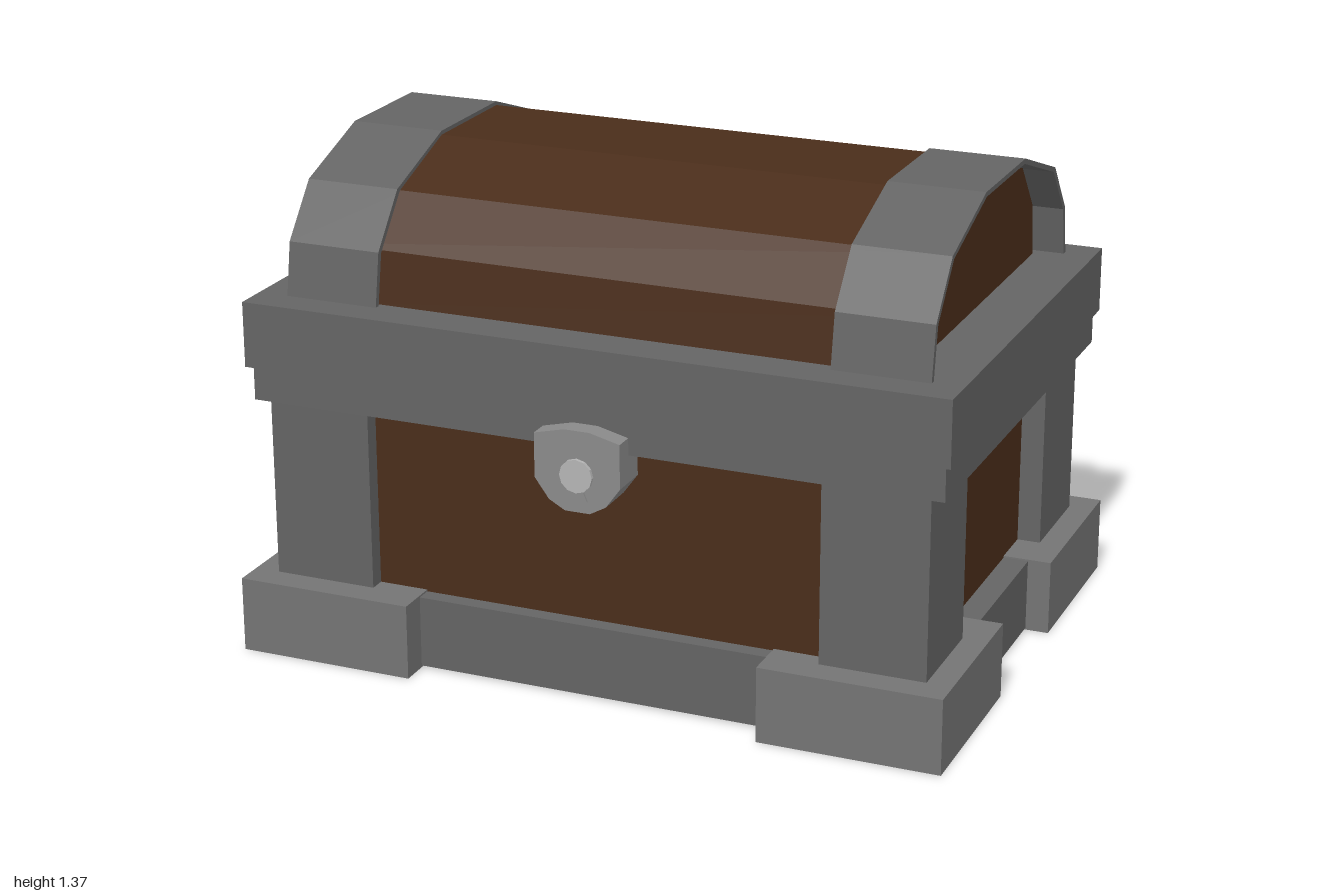
import * as THREE from 'three';

const paint = (color) => new THREE.MeshStandardMaterial({ color, flatShading: true });
const wood = paint(0x4a2d1a);
const iron = paint(0x646464);
const footIron = paint(0x747474);
const lockIron = paint(0x8a8a8a);
const keyIron = paint(0xb4b4b4);

export function createModel() {
  const chest = new THREE.Group();
  chest.name = 'chest';

  const add = (name, geometry, material) => {
    const mesh = new THREE.Mesh(geometry, material);
    mesh.name = name;
    chest.add(mesh);
    return mesh;
  };

  // Box given by its lower and upper limits on each axis
  const box = (name, [x0, x1], [y0, y1], [z0, z1], material) =>
    add(name, new THREE.BoxGeometry(x1 - x0, y1 - y0, z1 - z0), material)
      .position.set((x0 + x1) / 2, (y0 + y1) / 2, (z0 + z1) / 2);

  const outline = (points) => new THREE.Shape(points.map(([x, y]) => new THREE.Vector2(x, y)));
  const extrude = (shape, depth) =>
    new THREE.ExtrudeGeometry(shape, { depth, bevelEnabled: false, curveSegments: 6 });

  // Extrudes a (z, y) profile along x, from x0 to x1
  const alongX = (name, profile, x0, x1, material) => {
    const geometry = extrude(outline(profile.map(([z, y]) => [-z, y])), x1 - x0);
    geometry.rotateY(Math.PI / 2).translate(x0, 0, 0);
    add(name, geometry, material);
  };

  // Wooden body and the two-step rim
  box('body', [-0.865, 0.865], [0.02, 0.8], [-0.6, 0.6], wood);
  box('lowerRim', [-0.97, 0.97], [0.71, 0.805], [-0.66, 0.66], iron);
  box('upperRim', [-0.99, 0.985], [0.803, 0.985], [-0.67, 0.67], iron);

  // Mirrored pairs of limits: [a, b] on the + side, [-b, -a] on the - side
  const side = (s, a, b) => (s > 0 ? [a, b] : [-b, -a]);

  for (const s of [-1, 1]) {
    // Base rails
    box('longRail', [-0.93, 0.93], [0.005, 0.205], side(s, 0.56, 0.645), iron);
    box('shortRail', side(s, 0.82, 0.935), [0.005, 0.205], [-0.56, 0.56], iron);
    // Corner feet and posts
    for (const t of [-1, 1]) {
      box('foot', side(s, 0.5, 1), [0, 0.21], side(t, 0.22, 0.725), footIron);
      box('cornerPost', side(s, 0.64, 0.93), [0.2, 0.72], side(t, 0.35, 0.645), iron);
    }
  }

  // Faceted barrel lid
  const lidHalf = [[0.55, 0.97], [0.53, 1.13], [0.42, 1.265], [0.17, 1.354]];
  const lid = [...lidHalf, ...lidHalf.map(([z, y]) => [-z, y]).reverse()];
  alongX('lid', lid, -0.82, 0.82, wood);

  // Thin iron straps arching over the lid ends
  const strapOuter = [
    [0.578, 0.98], [0.553, 1.13], [0.446, 1.26], [0.436, 1.272], [0.17, 1.365],
    [-0.17, 1.365], [-0.46, 1.265], [-0.572, 1.125], [-0.598, 0.98],
  ];
  const strapInner = strapOuter
    .map(([z, y]) => [z * 0.972, 0.98 + (y - 0.98) * 0.965])
    .reverse();
  const strap = [...strapOuter, ...strapInner];
  alongX('leftStrap', strap, 0.635, 0.9, iron);
  alongX('rightStrap', strap, -0.905, -0.64, iron);

  // Lock plate on the front
  const plateHalf = [[0.035, 0.778], [0.12, 0.757], [0.12, 0.635], [0.08, 0.58], [0.035, 0.555]];
  const plate = [...plateHalf, ...plateHalf.map(([x, y]) => [-x, y]).reverse()];
  add('lockPlate', extrude(outline(plate), 0.125), lockIron).position.z = 0.59;

  // Raised keyhole: a disc with a flared foot
  const disc = new THREE.CylinderGeometry(0.046, 0.046, 0.03, 12).rotateX(Math.PI / 2);
  add('keyholeDisc', disc, keyIron).position.set(0, 0.657, 0.71);
  const flare = outline([[-0.012, 0.63], [-0.03, 0.588], [0.03, 0.588], [0.012, 0.63]]);
  add('keyholeFlare', extrude(flare, 0.02), lockIron).position.z = 0.7;

  return chest;
}
